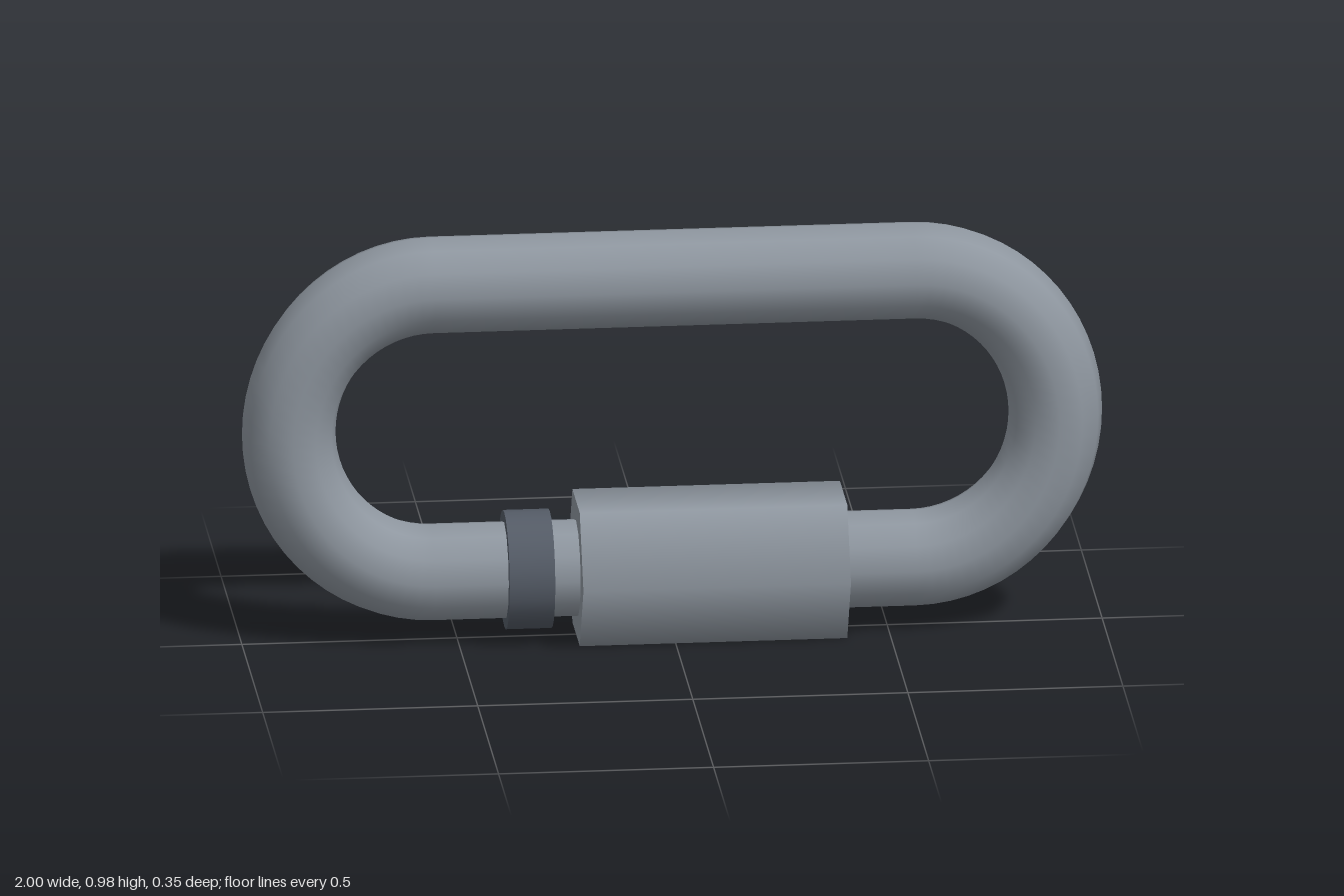
import * as THREE from 'three';

export function createModel() {
  const group = new THREE.Group();
  const steel = new THREE.MeshStandardMaterial({ color: 0x8e969f });
  steel.name = 'steel grey';
  const dark = new THREE.MeshStandardMaterial({ color: 0x545b66 });
  dark.name = 'dark grey';

  const midY = 0.513, bend = 0.35, rod = 0.115, half = 0.56;

  const add = (name, geometry, material, x, y) => {
    const mesh = new THREE.Mesh(geometry, material);
    mesh.name = name;
    mesh.position.set(x, y, 0);
    group.add(mesh);
    return mesh;
  };

  // Cylinder lying along x, slightly narrower in depth than in height
  const bar = (r, length, sides, open, depth) =>
    new THREE.CylinderGeometry(r, r, length, sides, 1, open)
      .rotateZ(Math.PI / 2)
      .scale(1, 1, depth);

  // Half-ring bends at both ends
  for (const side of [1, -1]) {
    const geometry = new THREE.TorusGeometry(bend, rod, 12, 32, Math.PI)
      .rotateZ(-side * Math.PI / 2)
      .scale(0.946, 1, 0.96);
    add(side > 0 ? 'leftBend' : 'rightBend', geometry, steel, side * half, midY);
  }

  // Straight rods
  add('topRod', bar(rod, half * 2, 12, true, 0.96), steel, 0, midY + bend);
  add('bottomRod', bar(rod, half * 2, 12, true, 0.96), steel, 0, midY - bend);

  // Hexagonal locking sleeve, with softly shaded sides
  add('lockingSleeve', bar(0.1875, 0.622, 6, false, 0.946), steel, 0.088, 0.1625);

  // Dark stop collar
  add('stopCollar', bar(0.139, 0.106, 24, false, 0.955), dark, -0.337, 0.163);

  return group;
}
